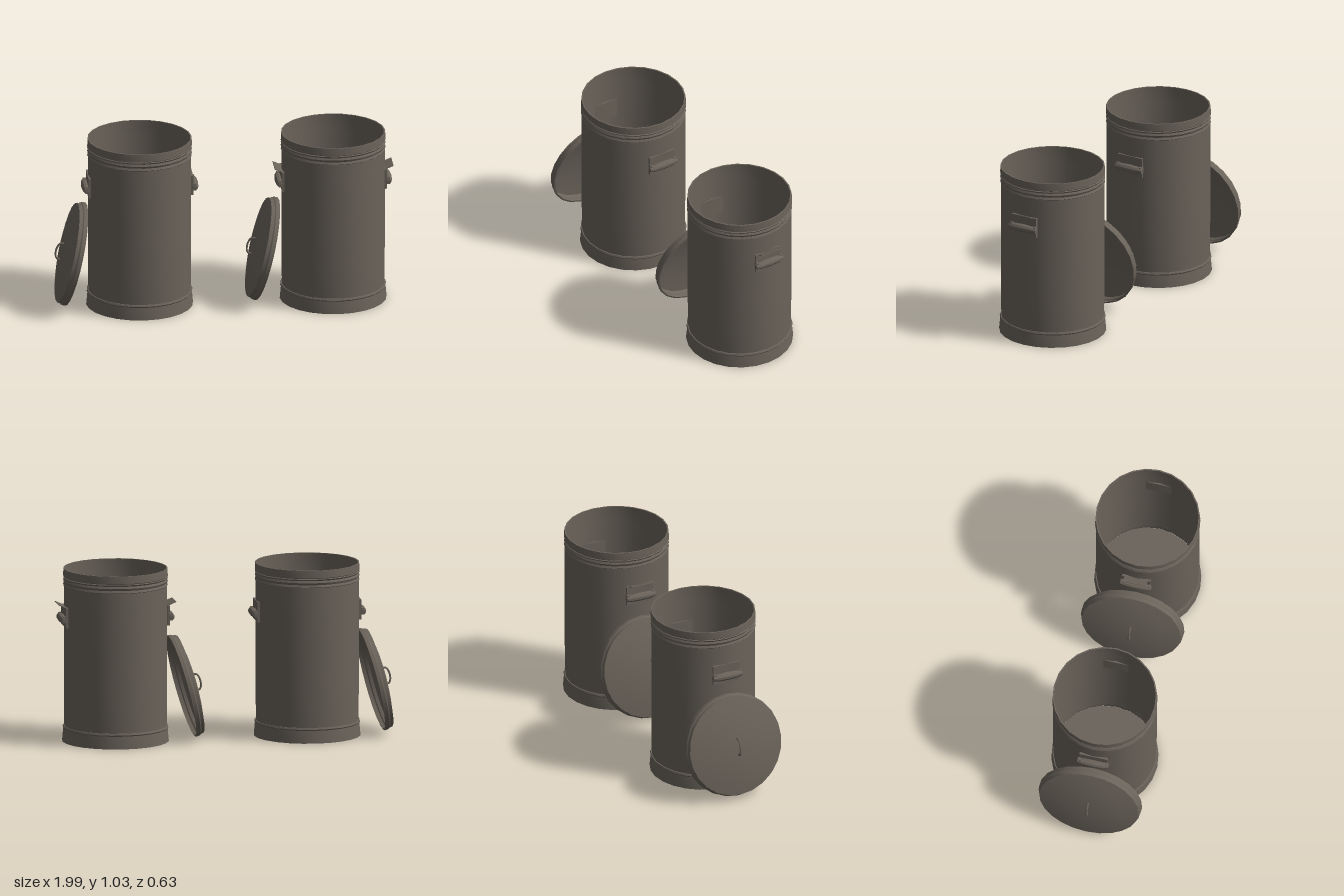
import * as THREE from 'three';
import { toCreasedNormals } from 'three/addons/utils/BufferGeometryUtils.js';

const metal = new THREE.MeshStandardMaterial({ color: 0x6a635a, side: THREE.DoubleSide });
metal.name = 'weathered metal';

function part(name, geometry, parent) {
  const mesh = new THREE.Mesh(geometry, metal);
  mesh.name = name;
  parent.add(mesh);
  return mesh;
}

// Revolved sheet from [radius, height] pairs, smooth around and sharp at folds
function revolve(pairs, segments = 24) {
  const points = pairs.map(([r, y]) => new THREE.Vector2(r, y));
  return toCreasedNormals(new THREE.LatheGeometry(points, segments), 0.45);
}

function tube(points, radius, sides = 6) {
  const curve = new THREE.CatmullRomCurve3(points.map((p) => new THREE.Vector3(...p)));
  return new THREE.TubeGeometry(curve, 12, radius, sides);
}

// Side handle: back plate, two lugs and a swollen grip, pointing along +x
function makeHandle(name) {
  const handle = new THREE.Group();
  handle.name = name;
  part('handlePlate', new THREE.BoxGeometry(0.014, 0.12, 0.17), handle).position.set(0.302, 0.75, 0);
  for (const side of [-1, 1]) {
    part('handleLug', new THREE.BoxGeometry(0.03, 0.04, 0.015), handle).position.set(0.312, 0.74, side * 0.08);
  }
  const grip = revolve([[0, -0.095], [0.015, -0.093], [0.022, -0.06], [0.025, 0], [0.022, 0.06], [0.015, 0.093], [0, 0.095]], 10);
  grip.rotateX(Math.PI / 2);
  part('handleGrip', grip, handle).position.set(0.32, 0.738, 0);
  return handle;
}

function makeBin(name, x) {
  const bin = new THREE.Group();
  bin.name = name;
  bin.position.x = x;
  part('body', revolve([[0.302, 0.07], [0.305, 0.3], [0.305, 0.93]]), bin);
  part('floor', revolve([[0, 0.001], [0.314, 0.001]]), bin);
  // Flared foot and its folded seam
  part('footBand', revolve([[0.315, 0], [0.308, 0.075], [0.312, 0.082], [0.308, 0.092], [0.302, 0.092]]), bin);
  // Rolled beads below the rim
  part('rimBeads', revolve([[0.303, 0.925], [0.309, 0.93], [0.303, 0.943], [0.309, 0.956], [0.303, 0.968], [0.309, 0.977], [0.303, 0.982]]), bin);
  part('rimBand', revolve([[0.303, 0.98], [0.309, 0.985], [0.307, 1.03], [0.299, 1.03], [0.299, 0.925]]), bin);
  const left = makeHandle('leftHandle');
  const right = makeHandle('rightHandle');
  right.rotation.y = Math.PI;
  bin.add(left, right);
  return bin;
}

// Domed lid leaning on the bin, with a bent wire pull
function makeLid(name, x, y, tilt) {
  const lid = new THREE.Group();
  lid.name = name;
  part('lidRim', revolve([[0.3, 0], [0.31, 0.002], [0.308, 0.025], [0.302, 0.032], [0.298, 0.052]]), lid);
  part('lidDome', revolve([[0.299, 0.05], [0.22, 0.066], [0.12, 0.079], [0, 0.084]]), lid);
  part('lidPull', tube([[0.05, 0.075, 0], [0.045, 0.105, 0], [0, 0.118, 0], [-0.045, 0.105, 0], [-0.05, 0.075, 0]], 0.006), lid);
  lid.position.set(x, y, 0);
  lid.rotation.z = tilt;
  return lid;
}

export function createModel() {
  const model = new THREE.Group();
  model.name = 'trashCans';
  const rightBin = makeBin('rightBin', -0.495);
  const leftBin = makeBin('leftBin', 0.647);
  model.add(rightBin, leftBin);
  model.add(makeLid('rightLid', -0.873, 0.315, 1.337));
  model.add(makeLid('leftLid', 0.255, 0.31, 1.322));

  // Loose metal flap above each handle of the left bin
  for (const side of [-1, 1]) {
    const flap = part('looseFlap', new THREE.BoxGeometry(0.05, 0.004, 0.14), leftBin);
    flap.position.set(side * 0.327, 0.818, 0);
    flap.rotation.z = side * 0.4;
  }
  return model;
}
